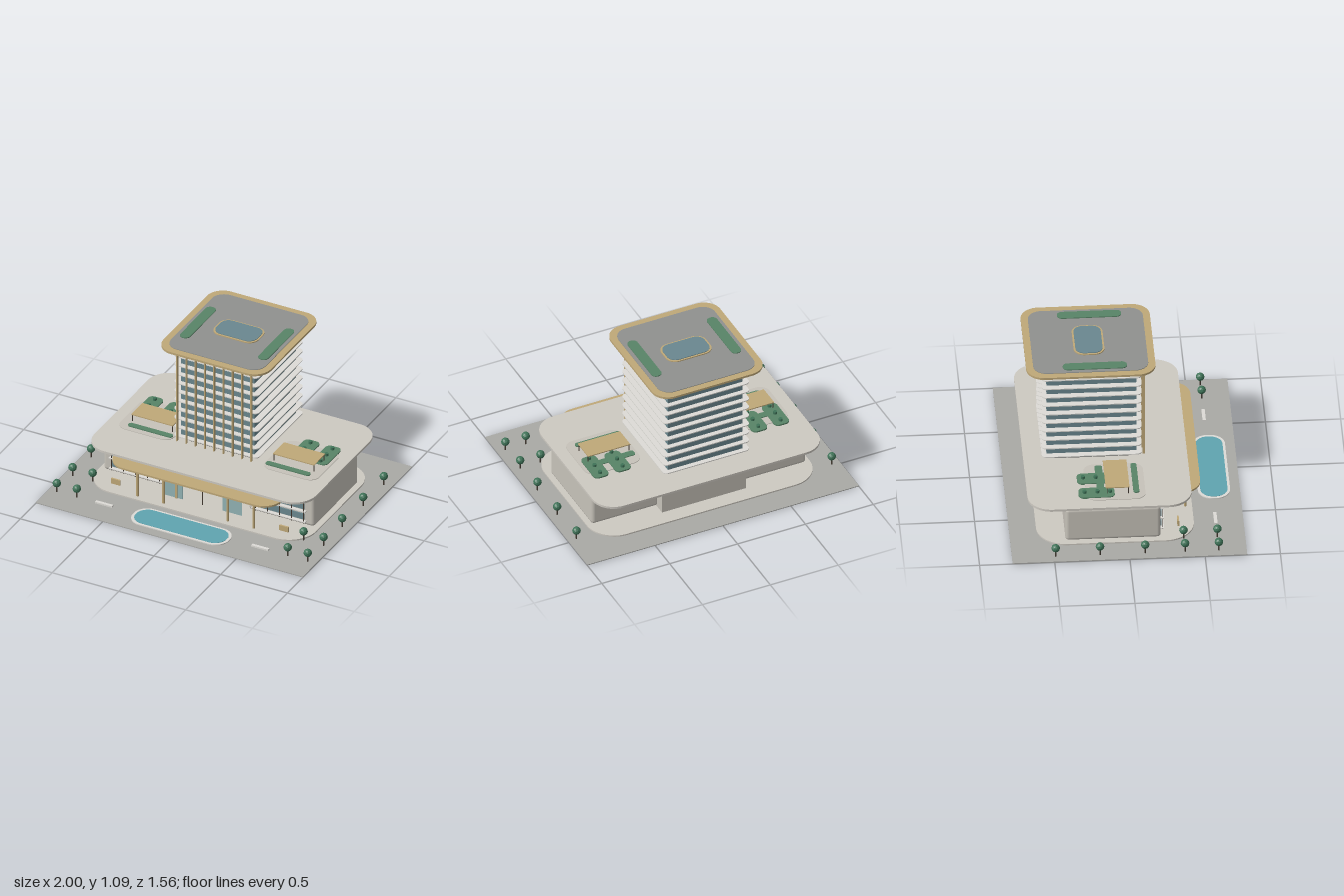
import * as THREE from 'three';
import { RoundedBoxGeometry } from 'three/addons/geometries/RoundedBoxGeometry.js';

const mat = (color) => new THREE.MeshStandardMaterial({ color });
const M = {
  paving: mat(0xa9a9a5), stone: mat(0xcdc9c1), wall: mat(0xc6c2b9), pale: mat(0xdddbd6),
  tan: mat(0xbfa878), glass: mat(0x6a878f), paleGlass: mat(0x92b3b5), roofGrey: mat(0x8f918e),
  green: mat(0x588467), leaf: mat(0x3f7358), water: mat(0x5fa4b0), dark: mat(0x453c33),
};

function add(parent, name, geometry, material) {
  const mesh = new THREE.Mesh(geometry, material);
  mesh.name = name;
  parent.add(mesh);
  return mesh;
}

// Box given by its extents on each axis
function box(parent, name, material, x0, x1, y0, y1, z0, z1) {
  const mesh = add(parent, name, new THREE.BoxGeometry(x1 - x0, y1 - y0, z1 - z0), material);
  mesh.position.set((x0 + x1) / 2, (y0 + y1) / 2, (z0 + z1) / 2);
  return mesh;
}

// Box with all edges rounded
function softBox(parent, name, material, x0, x1, y0, y1, z0, z1, r) {
  const mesh = add(parent, name, new RoundedBoxGeometry(x1 - x0, y1 - y0, z1 - z0, 4, r), material);
  mesh.position.set((x0 + x1) / 2, (y0 + y1) / 2, (z0 + z1) / 2);
  return mesh;
}

// Horizontal plate with rounded corners in plan
function plate(parent, name, material, x0, x1, y0, y1, z0, z1, r) {
  const a = -z1, b = -z0, s = new THREE.Shape();
  s.moveTo(x0 + r, a);
  s.lineTo(x1 - r, a);
  s.absarc(x1 - r, a + r, r, -Math.PI / 2, 0);
  s.lineTo(x1, b - r);
  s.absarc(x1 - r, b - r, r, 0, Math.PI / 2);
  s.lineTo(x0 + r, b);
  s.absarc(x0 + r, b - r, r, Math.PI / 2, Math.PI);
  s.lineTo(x0, a + r);
  s.absarc(x0 + r, a + r, r, Math.PI, Math.PI * 1.5);
  const g = new THREE.ExtrudeGeometry(s, { depth: y1 - y0, bevelEnabled: false, curveSegments: 10 });
  g.rotateX(-Math.PI / 2);
  const mesh = add(parent, name, g, material);
  mesh.position.y = y0;
  return mesh;
}

function post(parent, name, material, x, z, y0, y1, r) {
  const mesh = add(parent, name, new THREE.CylinderGeometry(r, r, y1 - y0, 12), material);
  mesh.position.set(x, (y0 + y1) / 2, z);
  return mesh;
}

function group(parent, name) {
  const g = new THREE.Group();
  g.name = name;
  parent.add(g);
  return g;
}

function buildSite(root) {
  const site = group(root, 'site');
  box(site, 'ground', M.paving, -1, 1, 0, 0.006, -0.78, 0.78);
  plate(site, 'plinth', M.stone, -0.82, 0.82, 0.005, 0.016, -0.6, 0.45, 0.2);
  plate(site, 'poolRim', M.pale, -0.36, 0.36, 0.005, 0.013, 0.5, 0.715, 0.1);
  plate(site, 'poolWater', M.water, -0.34, 0.34, 0.012, 0.015, 0.517, 0.698, 0.085);
  for (const s of [-1, 1]) {
    box(site, 'bench', M.pale, s * 0.585 - 0.063, s * 0.585 + 0.063, 0.006, 0.018, 0.584, 0.606);
    box(site, 'frontPanel', M.tan, s * 0.63 - 0.033, s * 0.63 + 0.033, 0.012, 0.055, 0.338, 0.35);
    const spots = [-0.49, -0.195, 0.105, 0.37, 0.595].map((z) => [0.94, z]);
    spots.push([0.79, 0.37], [0.79, 0.595]);
    for (const [x, z] of spots) {
      const tree = group(site, 'tree');
      tree.position.set(s * x, 0, z);
      post(tree, 'trunk', M.dark, 0, 0, 0.005, 0.055, 0.005);
      const crown = add(tree, 'crown', new THREE.IcosahedronGeometry(0.029, 1), M.leaf.clone());
      crown.material.flatShading = true;
      crown.position.y = 0.073;
    }
  }
}

function buildPodium(root) {
  const podium = group(root, 'podium');
  box(podium, 'rearBlock', M.wall, -0.31, 0.31, 0.01, 0.295, -0.49, -0.165);
  plate(podium, 'podiumRoof', M.stone, -0.83, 0.83, 0.292, 0.308, -0.66, 0.43, 0.16);
  plate(podium, 'canopy', M.tan, -0.625, 0.625, 0.253, 0.266, 0.2, 0.5, 0.13);
  post(podium, 'doorPost', M.dark, 0, 0.305, 0.016, 0.253, 0.003);
  for (const s of [-1, 1]) {
    const wing = group(podium, 'wing');
    const at = (a, b) => (s > 0 ? [a, b] : [-b, -a]);
    softBox(wing, 'wingBody', M.wall, ...at(0.295, 0.79), 0.018, 0.274, -0.415, 0.22, 0.025);
    box(wing, 'wingTop', M.wall, ...at(0.33, 0.75), 0.27, 0.293, -0.37, 0.18);
    // Glazed wing front with ledges and thin posts
    for (const y of [0.065, 0.145, 0.225]) {
      box(wing, 'windowBand', M.glass, ...at(0.345, 0.72), y, y + 0.044, 0.21, 0.228);
      box(wing, 'ledge', M.pale, ...at(0.33, 0.735), y - 0.014, y - 0.008, 0.215, 0.245);
    }
    for (const x of [0.36, 0.45, 0.54, 0.63, 0.72]) {
      post(wing, 'facadePost', M.dark, s * x, 0.236, 0.04, 0.266, 0.003);
    }
    // Entrance screen and canopy columns
    box(podium, 'entranceGlass', M.paleGlass, ...at(0.15, 0.295), 0.016, 0.215, 0.302, 0.308);
    box(podium, 'entranceFin', M.tan, ...at(0.185, 0.2), 0.016, 0.22, 0.298, 0.316);
    for (const x of [0.24, 0.435]) post(podium, 'canopyColumn', M.tan, s * x, 0.405, 0.012, 0.255, 0.009);

    // Roof terrace
    const terrace = group(podium, 'terrace');
    plate(terrace, 'terracePad', M.wall, ...at(0.34, 0.745), 0.307, 0.312, -0.27, 0.125, 0.07);
    plate(terrace, 'frontHedge', M.green, ...at(0.35, 0.68), 0.31, 0.32, 0.045, 0.085, 0.018);
    plate(terrace, 'hedgeBar', M.green, ...at(0.36, 0.7), 0.308, 0.317, -0.195, -0.145, 0.015);
    plate(terrace, 'innerBed', M.green, ...at(0.445, 0.56), 0.307, 0.318, -0.32, -0.1, 0.035);
    plate(terrace, 'outerBed', M.green, ...at(0.61, 0.72), 0.307, 0.318, -0.32, -0.08, 0.035);
    for (const x of [0.5, 0.665]) {
      for (const z of [-0.28, -0.195, -0.11]) post(terrace, 'shrub', M.leaf, s * x, z, 0.312, 0.336, 0.013);
    }
    box(terrace, 'pergolaRoof', M.tan, ...at(0.375, 0.685), 0.361, 0.368, -0.14, 0.018);
    for (const x of [0.38, 0.68]) {
      for (const z of [-0.13, 0.01]) post(terrace, 'pergolaPost', M.dark, s * x, z, 0.308, 0.363, 0.003);
    }
  }
}

function buildTower(root) {
  const tower = group(root, 'tower');
  softBox(tower, 'core', M.roofGrey, -0.25, 0.25, 0.3, 1.06, -0.47, 0.055, 0.02);
  // Stacked storeys
  const pitch = 0.0692;
  for (let i = 0; i < 10; i++) {
    const y = 0.37 + i * pitch;
    box(tower, 'glassBand', M.glass, -0.275, 0.275, y, y + 0.057, -0.507, 0.09);
    plate(tower, 'floorSlab', M.pale, -0.317, 0.317, y - 0.007, y, -0.54, 0.125, 0.03);
  }
  // Vertical front fins
  for (let i = -4; i <= 4; i++) {
    box(tower, 'frontFin', M.tan, i * 0.0695 - 0.004, i * 0.0695 + 0.004, 0.345, 1.065, 0.13, 0.148);
  }
  // Roof
  plate(tower, 'roofSlab', M.tan, -0.402, 0.402, 1.062, 1.077, -0.642, 0.217, 0.12);
  plate(tower, 'roofDeck', M.roofGrey, -0.355, 0.355, 1.075, 1.081, -0.595, 0.17, 0.09);
  plate(tower, 'skylightFrame', M.tan, -0.165, 0.165, 1.08, 1.088, -0.315, -0.11, 0.07);
  plate(tower, 'skylight', M.glass, -0.153, 0.153, 1.086, 1.092, -0.303, -0.122, 0.06);
  for (const x of [-0.293, 0.293]) {
    plate(tower, 'roofPlanter', M.green, x - 0.036, x + 0.036, 1.08, 1.087, -0.4, 0.027, 0.034);
  }
}

export function createModel() {
  const root = new THREE.Group();
  root.name = 'towerBuilding';
  buildSite(root);
  buildPodium(root);
  buildTower(root);
  return root;
}
